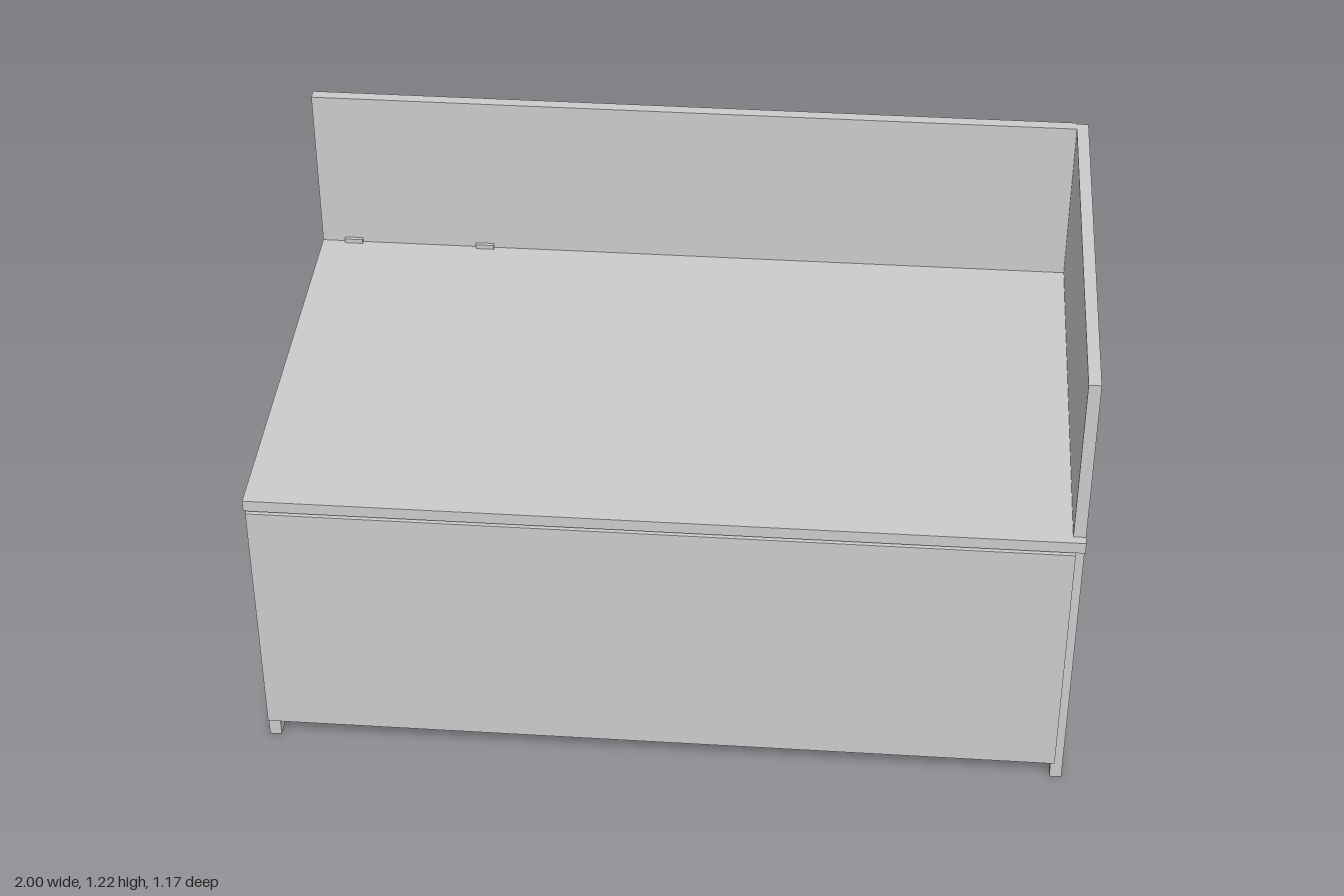
import * as THREE from 'three';

const grey = new THREE.MeshStandardMaterial({ color: 0xcccccc, flatShading: true });

// Box given by its lower and upper limits on each axis
function slab(group, name, [x0, x1], [y0, y1], [z0, z1]) {
  const mesh = new THREE.Mesh(new THREE.BoxGeometry(x1 - x0, y1 - y0, z1 - z0), grey);
  mesh.position.set((x0 + x1) / 2, (y0 + y1) / 2, (z0 + z1) / 2);
  mesh.name = name;
  group.add(mesh);
}

// Adds a rounded rectangle to a shape or path
function roundedRect(p, x0, x1, y0, y1, r) {
  p.moveTo(x0 + r, y0);
  p.lineTo(x1 - r, y0);
  p.absarc(x1 - r, y0 + r, r, -Math.PI / 2, 0);
  p.lineTo(x1, y1 - r);
  p.absarc(x1 - r, y1 - r, r, 0, Math.PI / 2);
  p.lineTo(x0 + r, y1);
  p.absarc(x0 + r, y1 - r, r, Math.PI / 2, Math.PI);
  p.lineTo(x0, y0 + r);
  p.absarc(x0 + r, y0 + r, r, Math.PI, Math.PI * 1.5);
  return p;
}

export function createModel() {
  const model = new THREE.Group();
  model.name = 'counter';

  // Outer carcass
  slab(model, 'tallSidePanel', [0.97, 1], [0, 1.215], [-0.565, 0.56]);
  slab(model, 'lowSidePanel', [-1, -0.97], [0, 0.743], [-0.565, 0.56]);
  slab(model, 'frontPanel', [-0.995, 0.978], [0.068, 0.737], [0.56, 0.586]);
  slab(model, 'upperBackPanel', [-1, 0.97], [0.74, 1.215], [-0.57, -0.54]);

  // Worktop with a nosing that runs past the tall side
  slab(model, 'worktop', [-1, 0.97], [0.743, 0.773], [-0.54, 0.56]);
  slab(model, 'worktopNosing', [-1, 1], [0.743, 0.773], [0.56, 0.583]);

  // Lower back panel with a rounded window
  const outline = new THREE.Shape();
  outline.moveTo(-0.54, 0.07);
  outline.lineTo(0.97, 0.07);
  outline.lineTo(0.97, 0.74);
  outline.lineTo(-0.54, 0.74);
  outline.closePath();
  outline.holes.push(roundedRect(new THREE.Path(), -0.4, 0.82, 0.17, 0.64, 0.1));
  const back = new THREE.Mesh(
    new THREE.ExtrudeGeometry(outline, { depth: 0.03, bevelEnabled: false, curveSegments: 8 }), grey);
  back.position.z = -0.566;
  back.name = 'lowerBackPanel';
  model.add(back);

  // Infill set behind the window
  slab(model, 'windowInfill', [-0.43, 0.85], [0.14, 0.67], [-0.536, -0.526]);

  // Posts on either side of the back opening
  for (const x of [-0.94, -0.588])
    slab(model, 'openingPost', [x, x + 0.048], [0.068, 0.785], [-0.586, -0.53]);

  // Fittings inside: rail, box and blocks along the tall side
  slab(model, 'innerRail', [0.18, 0.97], [0.07, 0.085], [0.25, 0.355]);
  slab(model, 'innerBox', [0, 0.13], [0.025, 0.265], [0.356, 0.5]);
  slab(model, 'sideBlock', [0.855, 0.97], [0.025, 0.12], [0.06, 0.25]);
  slab(model, 'sideBlock', [0.885, 0.97], [0.025, 0.12], [-0.15, 0]);
  slab(model, 'sideBlock', [0.9, 0.97], [0.025, 0.12], [-0.5, -0.22]);
  slab(model, 'sideRail', [0.825, 0.97], [0.062, 0.08], [-0.5, 0.25]);

  return model;
}
